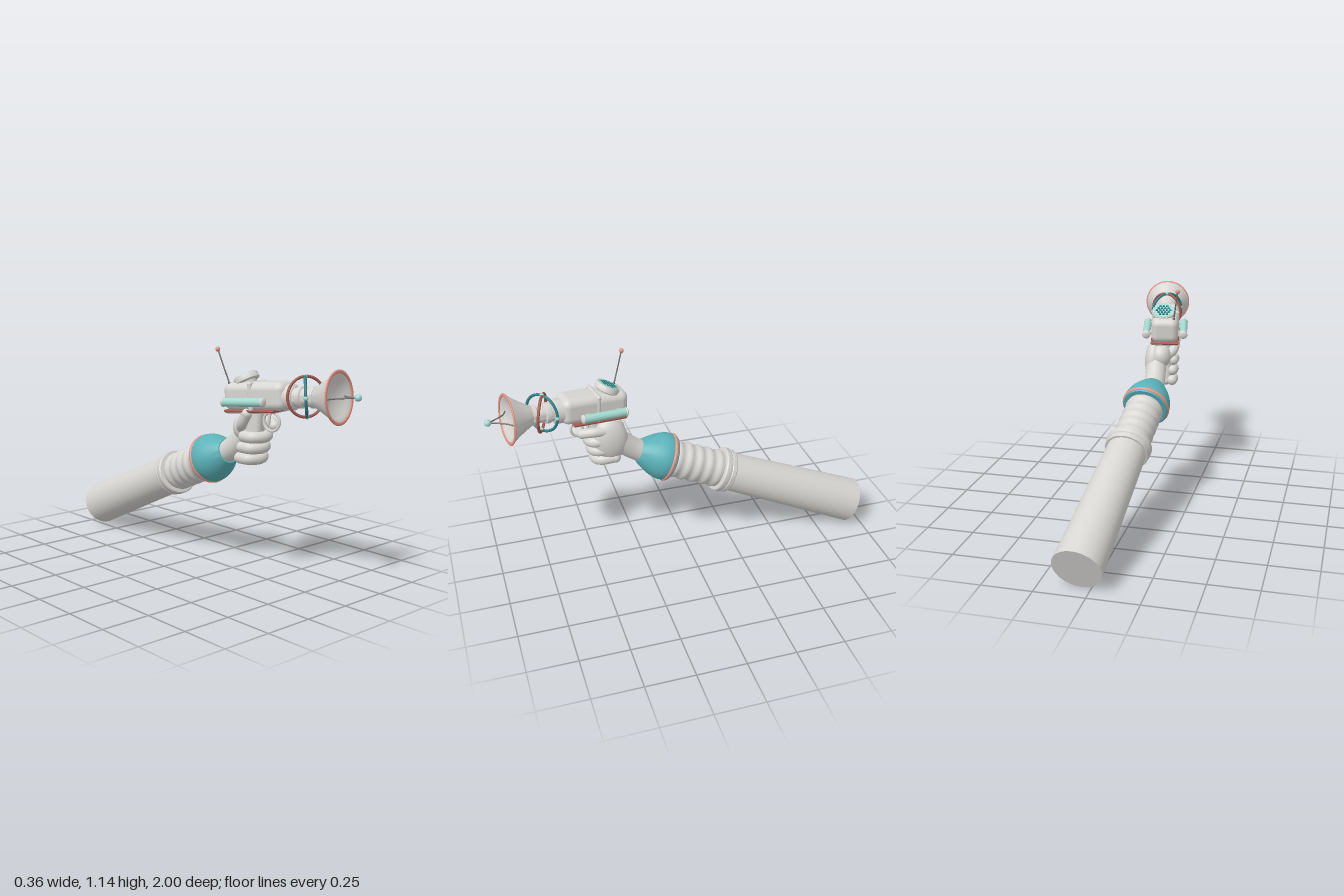
import * as THREE from 'three';
import { toCreasedNormals } from 'three/addons/utils/BufferGeometryUtils.js';
import { RoundedBoxGeometry } from 'three/addons/geometries/RoundedBoxGeometry.js';

const paint = (name, color) => {
  const m = new THREE.MeshStandardMaterial({ color });
  m.name = name;
  return m;
};
const V = (a) => new THREE.Vector3(...a);

export function createModel() {
  const grey = paint('light grey', 0xd8d6d2);
  const teal = paint('teal', 0x5ab2b8);
  const darkTeal = paint('dark teal', 0x2f8089);
  const paleTeal = paint('pale teal', 0xa3dad0);
  const coral = paint('coral', 0xe59485);
  const rust = paint('rust', 0xa35b50);
  const steel = paint('steel', 0x777472);

  const model = new THREE.Group();
  model.name = 'armWithRayGun';

  const add = (parent, name, geo, mat, pos = [0, 0, 0], rot = [0, 0, 0]) => {
    const m = new THREE.Mesh(geo, mat);
    m.name = name;
    m.position.set(...pos);
    m.rotation.set(...rot);
    parent.add(m);
    return m;
  };
  // profile points are [radius, distance along axis]
  const lathe = (pts, seg = 48) =>
    toCreasedNormals(new THREE.LatheGeometry(pts.map((p) => new THREE.Vector2(...p)), seg), 0.6);
  const ball = (r) => new THREE.SphereGeometry(r, 20, 14);
  // tube along a smooth curve through points
  const tube = (pts, r) => new THREE.TubeGeometry(new THREE.CatmullRomCurve3(pts.map(V)), 24, r, 16);
  // round-ended finger along a curve
  const finger = (parent, name, pts, r) => {
    const g = new THREE.Group();
    g.name = name;
    add(g, name + 'Tube', tube(pts, r), grey);
    add(g, name + 'Root', ball(r), grey, pts[0]);
    add(g, name + 'Tip', ball(r), grey, pts[pts.length - 1]);
    parent.add(g);
  };

  // ---- Arm: everything turned around one axis, zero at the cuff rim
  const arm = new THREE.Group();
  arm.name = 'arm';
  arm.position.set(-0.015, 0.557, 0.1);
  arm.quaternion.setFromUnitVectors(new THREE.Vector3(0, 1, 0), V([-0.061, 0.387, 0.92]).normalize());
  model.add(arm);

  add(arm, 'upperSleeve', lathe([[0, -1.144], [0.121, -1.144], [0.101, -0.34], [0, -0.34]]), grey);
  add(arm, 'elbowCollar', lathe([
    [0.09, -0.373], [0.111, -0.373], [0.115, -0.368], [0.115, -0.35], [0.111, -0.345],
    [0.116, -0.342], [0.119, -0.337], [0.119, -0.314], [0.114, -0.308], [0.09, -0.306],
  ]), grey);
  const folds = [];
  for (let i = 0; i <= 60; i++) {
    folds.push([0.094 + 0.007 * Math.sin((i / 60) * Math.PI * 5) ** 2, -0.315 + (i / 60) * 0.295]);
  }
  add(arm, 'ribbedSleeve', lathe(folds), grey);
  add(arm, 'cuffBackRing', lathe([[0.08, -0.03], [0.117, -0.03], [0.121, -0.025], [0.121, -0.012], [0.08, -0.012]]), teal);
  const cuffRim = add(arm, 'cuffRim', new THREE.TorusGeometry(0.117, 0.0105, 16, 64), coral, [0, -0.011, 0], [Math.PI / 2, 0, 0]);
  cuffRim.scale.z = 1.05;
  add(arm, 'cuff', lathe([
    [0.1, -0.002], [0.123, -0.002], [0.1245, 0.015], [0.121, 0.035], [0.113, 0.06],
    [0.101, 0.085], [0.087, 0.11], [0.073, 0.133], [0.061, 0.15], [0, 0.15],
  ]), teal);

  // ---- Hand
  const hand = new THREE.Group();
  hand.name = 'hand';
  model.add(hand);
  add(hand, 'wrist', tube([[-0.023, 0.6, 0.21], [-0.02, 0.645, 0.28], [-0.01, 0.72, 0.36]], 0.056), grey);
  const palm = add(hand, 'palm', new THREE.SphereGeometry(1, 32, 24), grey, [0.005, 0.725, 0.39], [0.15, 0, 0]);
  palm.scale.set(0.053, 0.115, 0.09);
  const heel = add(hand, 'thumbBase', new THREE.SphereGeometry(1, 24, 18), grey, [-0.035, 0.755, 0.365]);
  heel.scale.set(0.055, 0.065, 0.06);
  for (let i = 0; i < 3; i++) {
    const y = 0.722 - i * 0.054;
    const z = -i * 0.014;
    finger(hand, 'curledFinger', [
      [0.02, y + 0.01, 0.4 + z], [0.01, y + 0.004, 0.475 + z], [-0.03, y, 0.497 + z],
      [-0.085, y, 0.475 + z], [-0.092, y, 0.42 + z],
    ], 0.028);
  }
  finger(hand, 'triggerFinger', [[0.02, 0.785, 0.4], [0.024, 0.79, 0.48], [0, 0.778, 0.532]], 0.025);
  finger(hand, 'thumb', [[-0.06, 0.75, 0.37], [-0.095, 0.785, 0.41], [-0.1, 0.835, 0.445]], 0.026);

  // ---- Ray gun: local +z is the muzzle direction, zero at the dish rim
  const gun = new THREE.Group();
  gun.name = 'rayGun';
  gun.position.set(0.042, 0.946, 0.89);
  gun.rotation.set(-0.079, 0.183, 0, 'YXZ');
  model.add(gun);
  const alongZ = [Math.PI / 2, 0, 0];

  add(gun, 'body', new RoundedBoxGeometry(0.145, 0.135, 0.345, 5, 0.038), grey, [0, 0.008, -0.43]);
  add(gun, 'bodyBand', new RoundedBoxGeometry(0.152, 0.142, 0.022, 4, 0.01), grey, [0, 0.008, -0.44]);
  add(gun, 'bodyTrim', new RoundedBoxGeometry(0.152, 0.014, 0.285, 3, 0.0069), rust, [0, -0.06, -0.452]);
  add(gun, 'underside', new RoundedBoxGeometry(0.138, 0.014, 0.275, 2, 0.006), grey, [0, -0.065, -0.452]);
  add(gun, 'neck', lathe([
    [0, -0.29], [0.062, -0.29], [0.062, -0.235], [0.055, -0.228], [0.045, -0.224], [0.045, -0.21],
    [0.052, -0.206], [0.052, -0.185], [0.043, -0.18], [0.043, -0.14], [0.05, -0.135], [0.05, -0.115], [0, -0.11],
  ], 32), grey, [0, 0, 0], alongZ);

  // dish with hollow face and a flattened painted lip
  add(gun, 'dish', lathe([
    [0, -0.12], [0.045, -0.12], [0.065, -0.085], [0.09, -0.043], [0.123, 0.003], [0.113, 0.003],
    [0.095, -0.009], [0.07, -0.021], [0.04, -0.03], [0, -0.034],
  ]), grey, [0, 0, 0], alongZ);
  const lip = add(gun, 'dishRim', new THREE.TorusGeometry(0.1185, 0.0085, 16, 64), coral, [0, 0, 0.003]);
  lip.scale.z = 0.5;
  for (const s of [-1, 1]) {
    add(gun, 'dishStrut', tube([[s * 0.085, 0, -0.016], [s * 0.05, 0, 0.008], [s * 0.02, 0, 0.055], [0.003, 0, 0.098]], 0.0035), steel);
  }
  add(gun, 'emitterBall', ball(0.017), paleTeal, [0.001, 0, 0.098]);

  // crossed rings around the neck, with beads on one of them
  for (const s of [-1, 1]) {
    add(gun, 'neckRing', new THREE.TorusGeometry(0.094, 0.007, 10, 48), s > 0 ? darkTeal : rust, [0, 0.004, -0.172], [0, s * 0.55, 0]);
  }
  for (let i = 0; i < 4; i++) {
    const a = (i * Math.PI) / 2;
    const c = 0.094 * Math.cos(a);
    add(gun, 'ringBead', ball(0.011), paleTeal,
      [c * Math.cos(0.55), 0.004 + 0.094 * Math.sin(a), -0.172 - c * Math.sin(0.55)]);
  }

  // side canisters with rounded grey ends
  for (const s of [-1, 1]) {
    const x = s * 0.1;
    const y = -0.014;
    add(gun, 'canister', new THREE.CylinderGeometry(0.021, 0.021, 0.225, 24), paleTeal, [x, y, -0.46], alongZ);
    for (const e of [-1, 1]) {
      const z = -0.46 + e * 0.113;
      const cap = add(gun, 'canisterCap', ball(0.023), grey, [x, y, z]);
      cap.scale.z = 0.5;
      add(gun, 'canisterBracket', new THREE.BoxGeometry(0.04, 0.022, 0.02), grey, [s * 0.075, y, z - e * 0.03]);
    }
  }

  // tilted round vent on top, with staggered holes
  const vent = new THREE.Group();
  vent.name = 'vent';
  vent.position.set(0.008, 0.1, -0.513);
  vent.rotation.x = -0.42;
  gun.add(vent);
  add(vent, 'ventHousing', lathe([
    [0, -0.03], [0.055, -0.03], [0.063, -0.024], [0.063, -0.002], [0.06, 0.004], [0, 0.004],
  ], 36), grey);
  add(vent, 'ventFace', new THREE.CylinderGeometry(0.056, 0.056, 0.006, 36), paleTeal, [0, 0.003, 0]);
  for (let row = -2; row <= 2; row++) {
    for (let col = -3; col <= 3; col++) {
      const x = (col + (row % 2 ? 0.5 : 0)) * 0.018;
      const z = row * 0.016;
      if (Math.hypot(x, z) > 0.047) continue;
      add(vent, 'ventHole', new THREE.CylinderGeometry(0.0075, 0.0075, 0.003, 8), darkTeal, [x, 0.0065, z]);
    }
  }
  add(gun, 'ventStand', new THREE.CylinderGeometry(0.038, 0.044, 0.05, 24), grey, [0.006, 0.066, -0.495]);

  // antenna
  add(gun, 'antennaBase', new THREE.CylinderGeometry(0.006, 0.009, 0.02, 12), steel, [-0.048, 0.068, -0.57]);
  add(gun, 'antenna', tube([[-0.047, 0.06, -0.567], [-0.068, 0.238, -0.613]], 0.0035), steel);
  add(gun, 'antennaTip', ball(0.012), coral, [-0.068, 0.238, -0.613]);

  // grip and trigger guard
  add(gun, 'grip', new RoundedBoxGeometry(0.07, 0.29, 0.1, 4, 0.025), grey, [0, -0.182, -0.48], [0.15, 0, 0]);
  add(gun, 'triggerGuard', new THREE.TorusGeometry(0.045, 0.007, 10, 36), grey, [-0.003, -0.116, -0.368], [0, Math.PI / 2, 0]);
  add(gun, 'trigger', new THREE.CylinderGeometry(0.006, 0.008, 0.06, 10), grey, [-0.003, -0.102, -0.38], [0.25, 0, 0]);

  return model;
}
